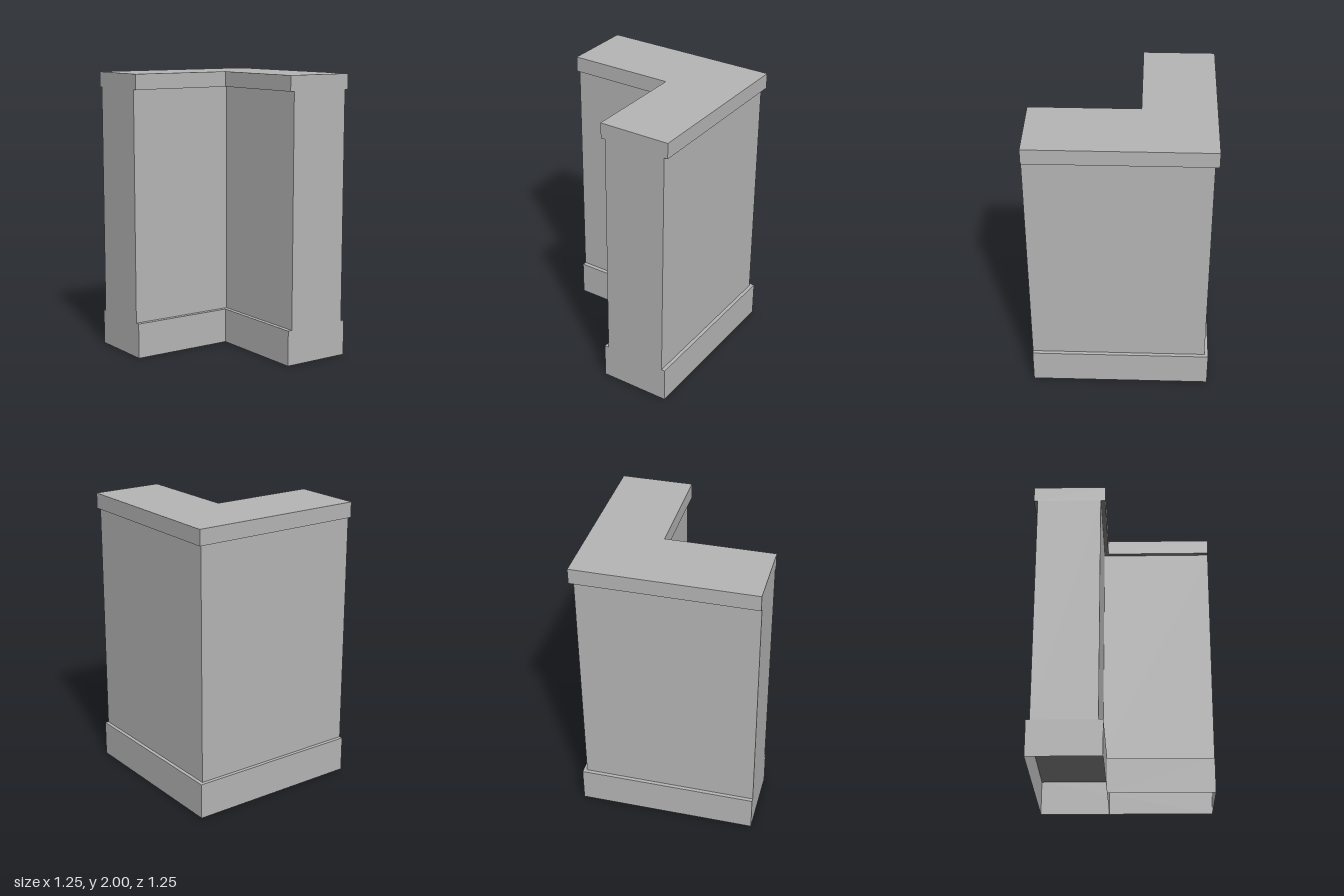
import * as THREE from 'three';

const H = 0.625; // half width of the plan

// L-shaped plan as [x, z] corners; the two end faces always stay flush at H
function plan(outer, innerX, innerZ) {
  return [[-H, innerZ], [innerX, innerZ], [innerX, H], [outer, H], [outer, -outer], [-H, -outer]];
}

// Level sheet filling a plan outline at height y
function sheet(name, pts, y, material) {
  const shape = new THREE.Shape(pts.map(([x, z]) => new THREE.Vector2(x, -z)));
  const geo = new THREE.ShapeGeometry(shape);
  geo.rotateX(-Math.PI / 2).translate(0, y, 0);
  const mesh = new THREE.Mesh(geo, material);
  mesh.name = name;
  return mesh;
}

// Upright panel between two plan corners, from y0 to y1
function panel(name, [ax, az], [bx, bz], y0, y1, material) {
  const geo = new THREE.PlaneGeometry(Math.hypot(bx - ax, bz - az), y1 - y0);
  geo.rotateY(Math.atan2(az - bz, bx - ax)).translate((ax + bx) / 2, (y0 + y1) / 2, (az + bz) / 2);
  const mesh = new THREE.Mesh(geo, material);
  mesh.name = name;
  return mesh;
}

// Group of upright panels all round a plan outline
function ring(name, pts, y0, y1, material) {
  const group = new THREE.Group();
  group.name = name;
  pts.forEach((p, i) => group.add(panel(name + 'Side', p, pts[(i + 1) % pts.length], y0, y1, material)));
  return group;
}

function flat(name, color) {
  const material = new THREE.MeshStandardMaterial({ color, side: THREE.DoubleSide });
  material.name = name;
  return material;
}

export function createModel() {
  const light = flat('lightGrey', 0xb4b4b4);
  const dark = flat('darkGrey', 0x7e7e7e);

  const model = new THREE.Group();
  model.name = 'cornerWall';

  const rim = plan(H, 0.123, -0.126);
  const inset = plan(0.599, 0.154, -0.157);
  const baseTop = 0.25;
  const capBottom = 1.892;

  // Plinth: open underneath, with a cross wall where the two arms meet
  const base = ring('base', rim, 0, baseTop, light);
  base.add(panel('baseCrossWall', [0.123, -0.126], [H, -0.126], 0, baseTop, light));
  base.add(sheet('baseTop', rim, baseTop, light));
  // Dark ceiling inside the rear arm of the plinth
  const rearArm = [[-H, -0.126], [H, -0.126], [H, -H], [-H, -H]];
  base.add(sheet('baseCeiling', rearArm, baseTop - 0.002, dark));
  model.add(base);

  // Recessed wall
  model.add(ring('wall', inset, baseTop, capBottom, light));

  // Overhanging cap with a dark underside
  const cap = ring('cap', rim, capBottom, 2, light);
  cap.add(sheet('capTop', rim, 2, light));
  cap.add(sheet('capUnderside', rim, capBottom, dark));
  model.add(cap);
  return model;
}
